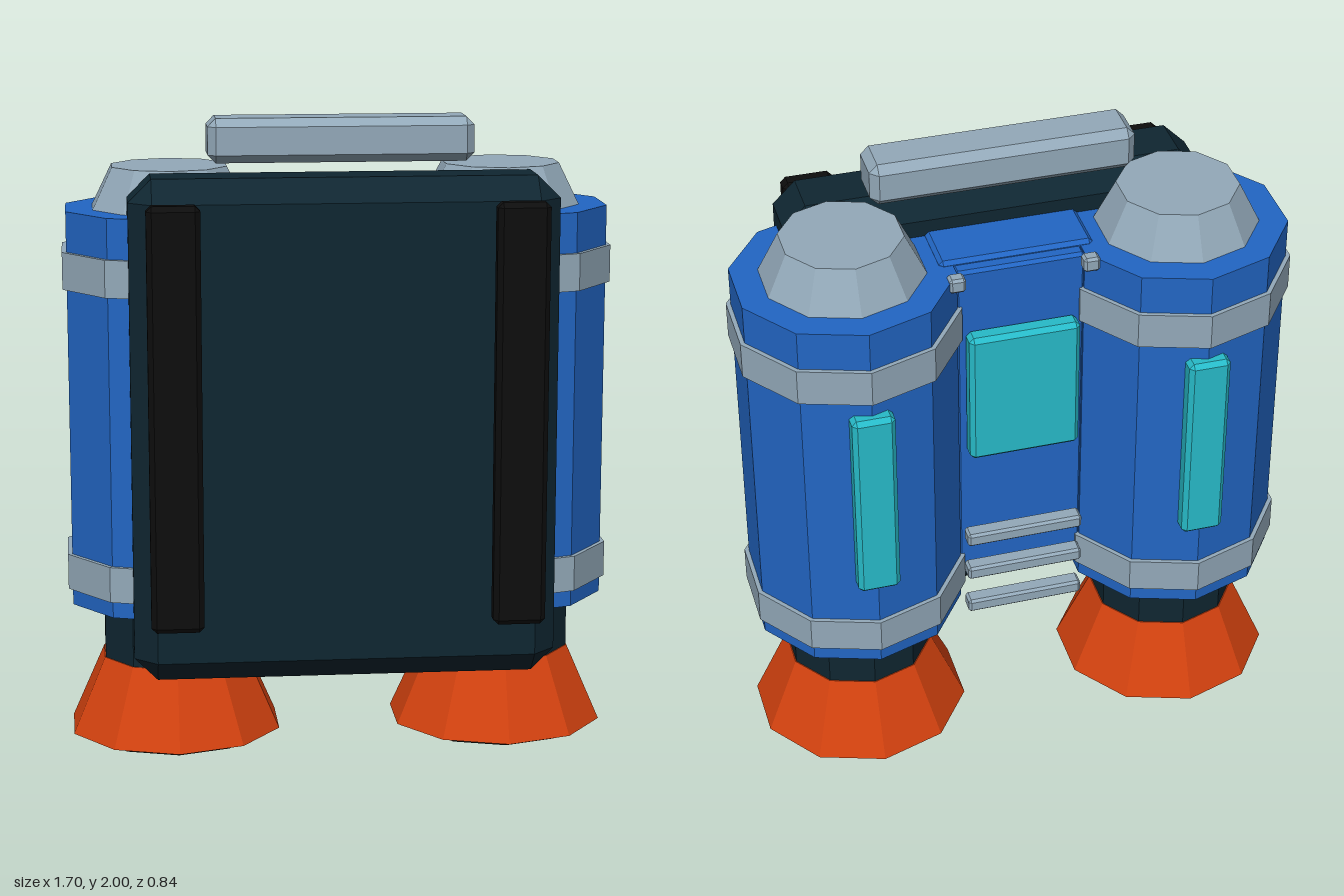
import * as THREE from 'three';
import { ConvexGeometry } from 'three/addons/geometries/ConvexGeometry.js';

const mat = (name, color) => {
  const m = new THREE.MeshStandardMaterial({ color });
  m.name = name;
  return m;
};

// Box with all edges chamfered by c, given as [min, max] per axis
function chamferBox(x, y, z, c) {
  const mid = [x, y, z].map(([a, b]) => (a + b) / 2);
  const half = [x, y, z].map(([a, b]) => (b - a) / 2);
  const points = [];
  for (const sx of [-1, 1]) for (const sy of [-1, 1]) for (const sz of [-1, 1]) {
    const s = [sx, sy, sz];
    for (let axis = 0; axis < 3; axis++) {
      const p = half.map((h, i) => s[i] * (i === axis ? h : h - c));
      points.push(new THREE.Vector3(...p));
    }
  }
  const g = new ConvexGeometry(points);
  g.translate(...mid);
  return g;
}

// Flat-shaded ten-sided drum between two heights
function drum(rTop, rBottom, y0, y1) {
  const g = new THREE.CylinderGeometry(rTop, rBottom, y1 - y0, 10).toNonIndexed();
  g.computeVertexNormals();
  g.translate(0, (y0 + y1) / 2, 0);
  return g;
}

export function createModel() {
  const blue = mat('tank blue', 0x2266c4);
  const grey = mat('metal grey', 0x93a9b9);
  const navy = mat('dark navy', 0x0f2631);
  const black = mat('black', 0x0d0d0d);
  const orange = mat('nozzle orange', 0xd4420f);
  const cyan = mat('glow cyan', 0x27bbc9);

  const model = new THREE.Group();
  model.name = 'jetpack';
  const add = (parent, name, geometry, material) => {
    const m = new THREE.Mesh(geometry, material);
    m.name = name;
    parent.add(m);
    return m;
  };

  // Harness panel and carrying handle
  add(model, 'frontPanel', chamferBox([-0.65, 0.65], [0.29, 1.835], [0.06, 0.345], 0.07), navy);
  add(model, 'handle', chamferBox([-0.405, 0.405], [1.865, 2], [0.01, 0.17], 0.025), grey);

  // Core between the tanks, with its rear screen and vent bars
  add(model, 'core', chamferBox([-0.236, 0.236], [0.52, 1.725], [-0.115, 0.2], 0.012), blue);
  add(model, 'corePlate', chamferBox([-0.2, 0.2], [0.56, 1.71], [-0.155, 0], 0.01), blue);
  add(model, 'rearScreen', chamferBox([-0.172, 0.172], [1.05, 1.5], [-0.215, -0.15], 0.014), cyan);
  for (const y of [0.735, 0.6, 0.465]) {
    add(model, 'ventBar', chamferBox([-0.185, 0.185], [y - 0.023, y + 0.023], [-0.22, -0.165], 0.008), grey);
  }

  for (const side of [-1, 1]) {
    const label = side > 0 ? 'left' : 'right';

    // Shoulder strap and core clamp
    add(model, label + 'Strap',
      chamferBox([side * 0.52 - 0.08, side * 0.52 + 0.08], [0.475, 1.77], [0.352, 0.42], 0.016), black);
    add(model, label + 'Clamp',
      chamferBox([side * 0.205 - 0.025, side * 0.205 + 0.025], [1.675, 1.722], [-0.21, -0.165], 0.008), grey);

    // Tank and thruster stack
    const tank = new THREE.Group();
    tank.name = label + 'Tank';
    tank.position.set(side * 0.515, 0, -0.055);
    model.add(tank);
    add(tank, 'tankBody', drum(0.336, 0.336, 0.475, 1.712), blue);
    add(tank, 'tankCap', drum(0.185, 0.25, 1.71, 1.84), grey);
    add(tank, 'upperBand', drum(0.35, 0.35, 1.473, 1.588), grey);
    add(tank, 'lowerBand', drum(0.35, 0.35, 0.527, 0.638), grey);
    add(tank, 'nozzleNeck', drum(0.232, 0.232, 0.28, 0.48), navy);
    add(tank, 'nozzle', drum(0.235, 0.342, 0.05, 0.29), orange);
    add(tank, 'nozzleThroat', drum(0.272, 0.272, 0.024, 0.06), black);
    add(tank, 'thrusterGlow', drum(0.145, 0.145, 0, 0.03), cyan);
    add(tank, 'lightStrip', chamferBox([-0.065, 0.065], [0.78, 1.425], [-0.365, -0.3], 0.014), cyan);
  }
  return model;
}
